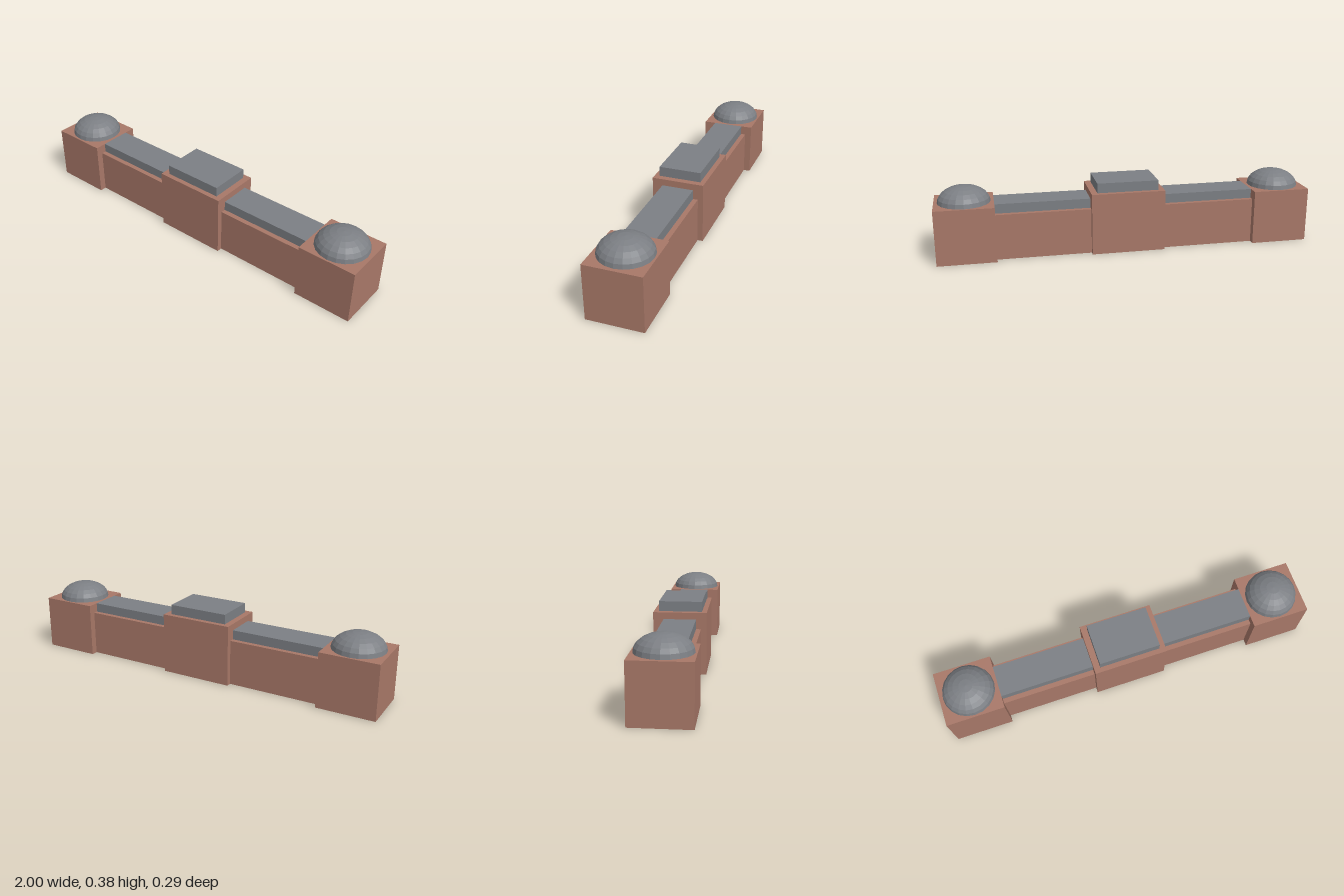
import * as THREE from 'three';

const BRICK = new THREE.MeshStandardMaterial({ color: 0xa87868, flatShading: true });
const STONE = new THREE.MeshStandardMaterial({ color: 0x7c7f84, flatShading: true });

export function createModel() {
  const model = new THREE.Group();

  // Box spanning x0..x1 and y0..y1, centred on z = 0
  const block = (name, material, x0, x1, y0, y1, depth) => {
    const mesh = new THREE.Mesh(new THREE.BoxGeometry(x1 - x0, y1 - y0, depth), material);
    mesh.position.set((x0 + x1) / 2, (y0 + y1) / 2, 0);
    mesh.name = name;
    model.add(mesh);
  };

  // Central pier with its flat capstone
  block('centrePier', BRICK, -0.196, 0.196, 0, 0.328, 0.276);
  block('centreCapstone', STONE, -0.163, 0.163, 0.328, 0.38, 0.224);

  // Wall, coping, end pier and dome on each side
  const domeGeometry = new THREE.SphereGeometry(0.137, 20, 6, 0, Math.PI * 2, 0, Math.PI / 2);
  domeGeometry.scale(1, 0.087 / 0.137, 1);

  for (const [side, s] of [['left', 1], ['right', -1]]) {
    const span = (name, material, inner, outer, y0, y1, depth) =>
      block(side + name, material, Math.min(s * inner, s * outer), Math.max(s * inner, s * outer), y0, y1, depth);

    span('Wall', BRICK, 0.196, 0.693, 0, 0.243, 0.22);
    span('Coping', STONE, 0.196, 0.693, 0.243, 0.293, 0.168);
    span('EndPier', BRICK, 0.693, 1, 0, 0.293, 0.292);

    const dome = new THREE.Mesh(domeGeometry, STONE);
    dome.name = side + 'Dome';
    dome.position.set(s * 0.845, 0.293, 0);
    model.add(dome);
  }

  return model;
}
